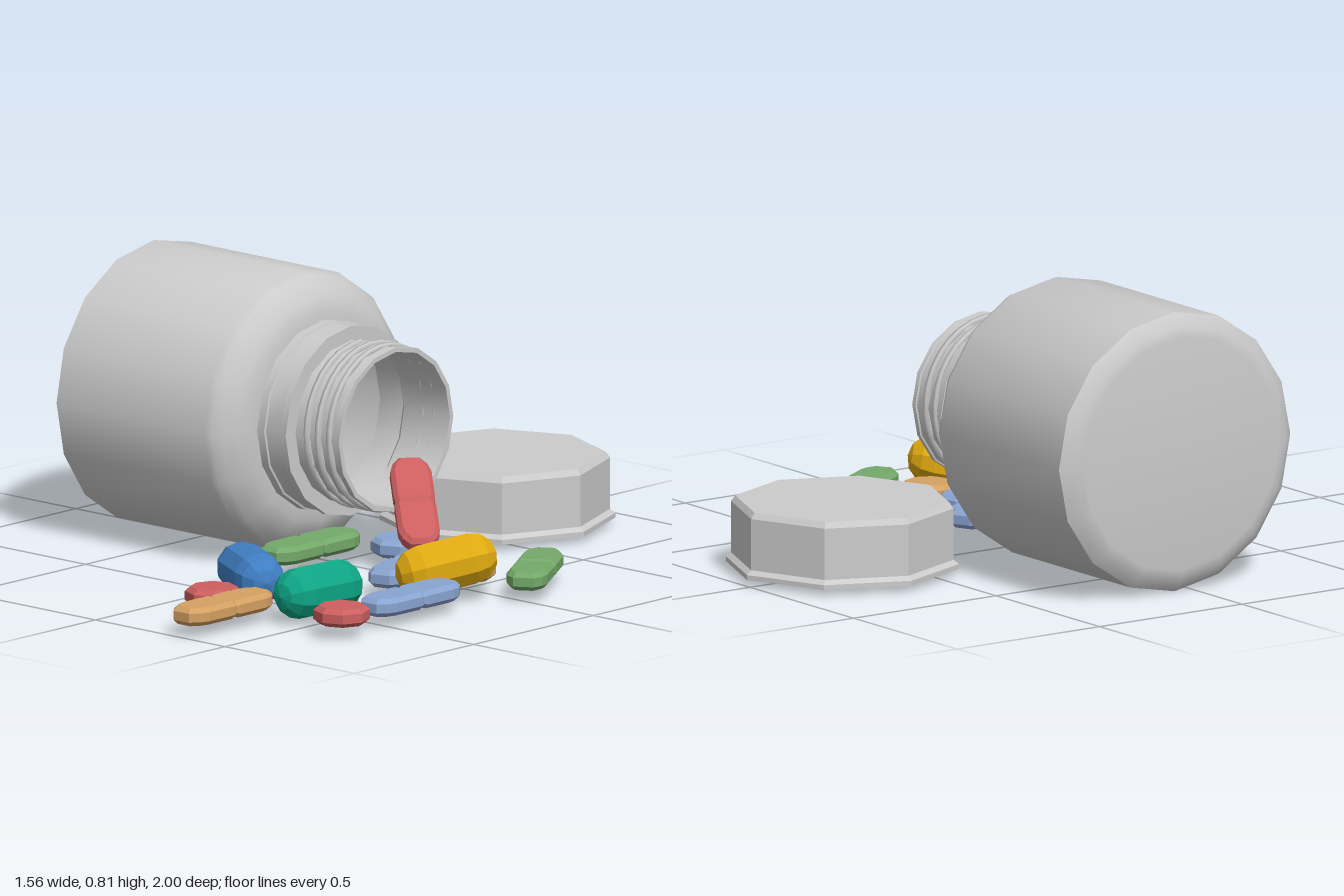
import * as THREE from 'three';
import { toCreasedNormals } from 'three/addons/utils/BufferGeometryUtils.js';

const GREY = 0xcccccc, GREEN = 0x74aa6a, RED = 0xcc5f60, ORANGE = 0xd6a163, BLUE = 0x8aa5d2;

function lathe(points, sides) {
  return new THREE.LatheGeometry(points.map(([r, y]) => new THREE.Vector2(r, y)), sides);
}

// Oblong tablet along x: chamfered cross-sections with a score groove in the middle
function tabletGeometry() {
  const stations = [
    [-0.175, 0.03, 0.026], [-0.15, 0.05, 0.026], [-0.12, 0.059, 0.026], [-0.012, 0.059, 0.026], [0, 0.055, 0.02],
    [0.012, 0.059, 0.026], [0.12, 0.059, 0.026], [0.15, 0.05, 0.026], [0.175, 0.03, 0.026],
  ];
  const pos = [], index = [];
  for (const [s, w, h] of stations) {
    const b = w * 0.8, m = h * 0.5, st = Math.abs(s) > 0.1 ? s * 0.93 : s;
    pos.push(s, -m, w, s, m, w, st, h, b, st, h, -b, s, m, -w, s, -m, -w, st, -h, -b, st, -h, b);
  }
  const last = (stations.length - 1) * 8;
  for (let k = 0; k < last; k += 8) {
    for (let i = 0; i < 8; i++) {
      const a = k + i, b = k + (i + 1) % 8;
      index.push(a, a + 8, b, b, a + 8, b + 8);
    }
  }
  // End faces: centre strip plus the sloped upper and lower strips
  for (const [a, b, c, d] of [[0, 1, 4, 5], [1, 2, 3, 4], [0, 5, 6, 7]]) {
    index.push(a, b, c, a, c, d);
    index.push(last + a, last + c, last + b, last + a, last + d, last + c);
  }
  const g = new THREE.BufferGeometry();
  g.setAttribute('position', new THREE.Float32BufferAttribute(pos, 3));
  g.setIndex(index);
  g.computeVertexNormals();
  return g;
}

export function createModel() {
  const root = new THREE.Group();

  function add(parent, name, geometry, color, flat = true, side = THREE.FrontSide) {
    const mesh = new THREE.Mesh(geometry, new THREE.MeshStandardMaterial({ color, flatShading: flat, side }));
    mesh.name = name;
    parent.add(mesh);
    return mesh;
  }

  // Places a part with its x axis along dir and its top facing up
  function place(mesh, position, dir) {
    const x = new THREE.Vector3(...dir).normalize();
    const z = new THREE.Vector3().crossVectors(x, new THREE.Vector3(0, 1, 0)).normalize();
    const y = new THREE.Vector3().crossVectors(z, x);
    mesh.quaternion.setFromRotationMatrix(new THREE.Matrix4().makeBasis(x, y, z));
    mesh.position.set(...position);
  }

  // Bottle lying on its side, hollow with an open mouth toward +x
  const bottle = new THREE.Group();
  bottle.name = 'bottle';
  bottle.position.set(0, 0.408, -0.055);
  root.add(bottle);
  const shell = lathe([
    [0, -0.785], [0.34, -0.785], [0.37, -0.78], [0.406, -0.75], [0.406, -0.18], [0.398, -0.16],
    [0.38, -0.14], [0.345, -0.112], [0.31, -0.098], [0.276, -0.095],
    [0.276, -0.068], [0.27, -0.066], [0.27, -0.003], [0.277, -0.001], [0.277, 0.016],
    [0.235, 0.016], [0.235, 0.17], [0.24, 0.172], [0.24, 0.187], [0.226, 0.187],
    [0.226, 0.01], [0.255, -0.02], [0.255, -0.11], [0.32, -0.13], [0.385, -0.19], [0.385, -0.75], [0, -0.76],
  ], 16);
  shell.rotateZ(-Math.PI / 2);
  add(bottle, 'bottleShell', toCreasedNormals(shell, 0.6), GREY, false);

  // Screw thread winding round the neck
  const turns = 2.6, path = [];
  for (let i = 0; i <= turns * 16; i++) {
    const a = i * Math.PI / 8;
    path.push(new THREE.Vector3(0.05 + 0.043 * i / 16, 0.234 * Math.cos(a), 0.234 * Math.sin(a)));
  }
  const thread = new THREE.TubeGeometry(new THREE.CatmullRomCurve3(path), 84, 0.011, 5);
  add(bottle, 'screwThread', thread, GREY, false);

  // Eight-sided cap, open underneath
  const cap = add(root, 'cap', lathe([
    [0, 0.165], [0.295, 0.165], [0.305, 0.02], [0.335, 0.02], [0.335, 0.034], [0.32, 0.046],
    [0.32, 0.195], [0.308, 0.212], [0, 0.212],
  ], 8), GREY);
  cap.position.set(0.018, 0, -0.663);

  // Scored oblong tablets
  const tablet = tabletGeometry();
  for (const [color, position, dir] of [
    [GREEN, [0.655, 0.062, -0.13], [0.53, 0, 0.85]],
    [BLUE, [0.642, 0.062, 0.377], [0, 0, 1]],
    [ORANGE, [0.329, 0.062, 0.823], [0, 0, 1]],
    [GREEN, [0.043, 0.08, 0.147], [0, 0, 1]],
    [BLUE, [0.377, 0.062, 0.1], [0.27, 0, 0.96]],
    [RED, [0.255, 0.2, -0.06], [0.21, -0.17, 0.18]],
  ]) place(add(root, 'oblongTablet', tablet, color), position, dir);

  // Round eight-sided tablets, two of them still in the bottle
  const disc = lathe([[0, -0.026], [0.066, -0.026], [0.081, -0.013], [0.081, 0.013], [0.066, 0.026], [0, 0.026]], 8);
  for (const [color, x, y, z] of [
    [ORANGE, 0.515, 0.062, 0], [GREEN, 0.28, 0.062, 0.375], [RED, 0.217, 0.065, 0.742],
    [RED, 0.647, 0.065, 0.67], [BLUE, 0.167, 0.062, -0.09], [ORANGE, -0.2, 0.25, 0.045], [RED, -0.22, 0.245, -0.14],
  ]) add(root, 'roundTablet', disc, color).position.set(x, y, z);

  // Faceted capsules
  const capsule = new THREE.CapsuleGeometry(0.075, 0.15, 3, 10);
  capsule.rotateZ(Math.PI / 2);
  for (const [color, position, dir] of [
    [0x3f7fc4, [0.165, 0.086, 0.53], [0.87, 0, 0.49]],
    [0x0ea585, [0.447, 0.086, 0.552], [-0.06, 0, 1]],
    [0xe0aa10, [0.569, 0.108, 0.149], [0.52, 0.18, -0.8]],
  ]) place(add(root, 'capsule', capsule, color), position, dir);

  return root;
}
